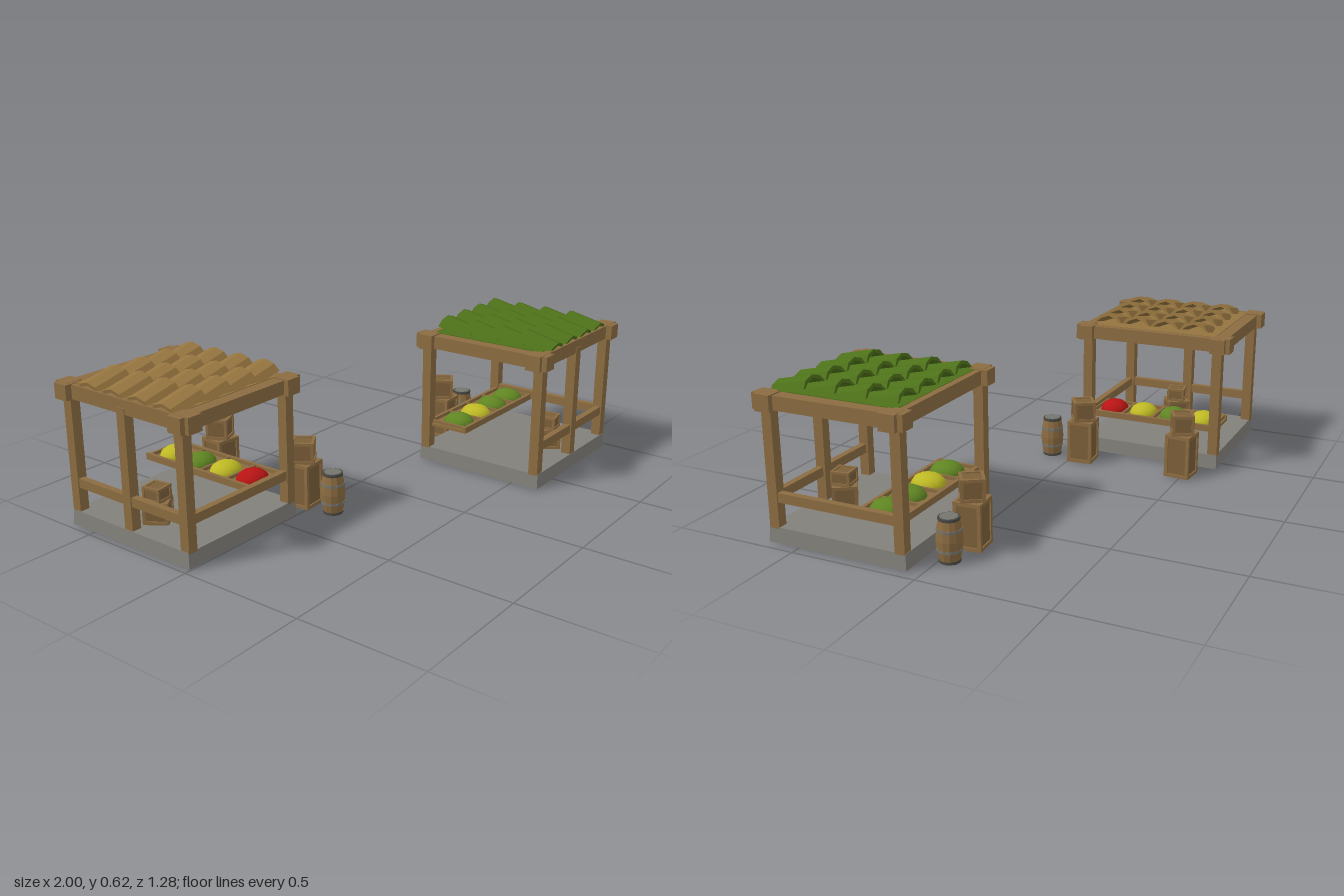
import * as THREE from 'three';

const mat = (name, color) => Object.assign(new THREE.MeshStandardMaterial({ color }), { name });

export function createModel() {
  const M = {
    wood: mat('wood', 0x8c6c41),
    crate: mat('crate panel', 0x7c5f39),
    roofBrown: mat('brown tile', 0x94733f),
    roofGreen: mat('green tile', 0x4d7019),
    stone: mat('stone', 0x82807a),
    metal: mat('metal', 0x75756f),
    rim: mat('dark iron', 0x494844),
    red: mat('red produce', 0xb81414),
    yellow: mat('yellow produce', 0xbdb924),
    green: mat('green produce', 0x5f8522),
  };
  const root = new THREE.Group();
  root.name = 'marketStalls';

  const add = (parent, name, geo, material, x = 0, y = 0, z = 0) => {
    const m = new THREE.Mesh(geo, material);
    m.name = name;
    m.position.set(x, y, z);
    parent.add(m);
    return m;
  };
  const box = (parent, name, material, w, h, d, x, y, z) =>
    add(parent, name, new THREE.BoxGeometry(w, h, d), material, x, y, z);
  const faceted = (geo) => {
    const g = geo.index ? geo.toNonIndexed() : geo;
    g.computeVertexNormals();
    return g;
  };

  // Crate: recessed panels inside a frame of twelve bars
  function crate(parent, s, h, x, y, z, turn) {
    const g = new THREE.Group();
    g.name = 'crate';
    g.position.set(x, y, z);
    g.rotation.y = turn;
    parent.add(g);
    const t = s * 0.13;
    box(g, 'cratePanels', M.crate, s - t * 0.8, h - t * 0.8, s - t * 0.8, 0, h / 2, 0);
    for (const a of [-1, 1]) for (const b of [-1, 1]) {
      const o = (s - t) / 2;
      box(g, 'crateCorner', M.wood, t, h, t, a * o, h / 2, b * o);
      const yb = h / 2 + b * (h - t) / 2;
      box(g, 'crateEdge', M.wood, s - 2 * t, t, t, 0, yb, a * o);
      box(g, 'crateEdge', M.wood, t, t, s - 2 * t, a * o, yb, 0);
    }
  }

  function crateStack(x, z, turn) {
    crate(root, 0.106, 0.18, x, 0, z, turn);
    crate(root, 0.09, 0.086, x, 0.18, z, turn + 0.5);
  }

  // Barrel: bulged staves, two hoops, grey lid
  function barrel(x, z) {
    const g = new THREE.Group();
    g.name = 'barrel';
    g.position.set(x, 0.004, z);
    root.add(g);
    const pts = [[0, 0], [0.037, 0], [0.045, 0.045], [0.048, 0.082], [0.045, 0.119], [0.037, 0.164], [0, 0.164]]
      .map((p) => new THREE.Vector2(...p));
    add(g, 'barrelStaves', faceted(new THREE.LatheGeometry(pts, 12)), M.wood);
    for (const y of [0.045, 0.119])
      add(g, 'barrelHoop', faceted(new THREE.CylinderGeometry(0.0465, 0.0465, 0.009, 12)), M.metal, 0, y, 0);
    for (const y of [0.004, 0.16])
      add(g, 'barrelRim', new THREE.CylinderGeometry(0.0395, 0.0395, 0.01, 12), M.rim, 0, y, 0);
    for (const y of [-0.001, 0.165])
      add(g, 'barrelLid', new THREE.CylinderGeometry(0.033, 0.033, 0.004, 12), M.metal, 0, y, 0);
  }

  // Arched roof tile running along x
  const half = [[-0.061, 0], [-0.04, 0.026], [0, 0.038], [0.04, 0.026], [0.061, 0]];
  const arch = new THREE.Shape([
    ...half.map(([x, y]) => new THREE.Vector2(x, y)),
    ...half.map(([x, y]) => new THREE.Vector2(x * 0.82, Math.max(0, y - 0.012))).reverse(),
  ]);
  const tileGeo = new THREE.ExtrudeGeometry(arch, { depth: 0.148, bevelEnabled: false });
  tileGeo.translate(0, 0, -0.074).rotateY(Math.PI / 2);

  function stall(name, cx, cz, turn, roof, produce) {
    const g = new THREE.Group();
    g.name = name;
    g.position.set(cx, 0, cz);
    g.rotation.y = turn;
    root.add(g);

    // Base slab with slightly drawn-in top
    const slab = new THREE.BoxGeometry(0.57, 0.06, 0.612);
    const p = slab.attributes.position;
    for (let i = 0; i < p.count; i++)
      if (p.getY(i) > 0) p.setXYZ(i, p.getX(i) * 0.988, p.getY(i), p.getZ(i) * 0.988);
    slab.computeVertexNormals();
    add(g, 'baseSlab', slab, M.stone, 0, 0.035, 0);

    // Posts: four corners and one in the middle of the closed side
    for (const [x, z] of [[-1, -1], [-1, 1], [1, -1], [1, 1], [-1, 0]])
      box(g, 'post', M.wood, 0.04, 0.47, 0.04, x * 0.26, 0.295, z * 0.284);

    // Top frame with thicker beam ends
    for (const s of [-1, 1]) {
      box(g, 'longBeam', M.wood, 0.054, 0.055, 0.62, s * 0.25, 0.535, 0);
      box(g, 'shortBeam', M.wood, 0.56, 0.053, 0.054, 0, 0.535, s * 0.289);
      for (const e of [-1, 1]) {
        box(g, 'longBeamEnd', M.wood, 0.064, 0.062, 0.066, s * 0.25, 0.535, e * 0.304);
        box(g, 'shortBeamEnd', M.wood, 0.066, 0.06, 0.062, e * 0.27, 0.535, s * 0.289);
      }
    }

    // Roof panel and four rows of overlapping tiles
    box(g, 'roofPanel', roof, 0.5, 0.012, 0.53, 0, 0.558, 0);
    for (let r = 0; r < 4; r++) for (let c = 0; c < 4; c++) {
      const t = add(g, 'roofTile', tileGeo, roof, -0.194 + c * 0.125, 0.565, 0.016 + (r - 1.5) * 0.126);
      t.rotation.z = 0.22;
    }

    // Side rails
    box(g, 'backRail', M.wood, 0.026, 0.036, 0.54, -0.262, 0.178, 0);
    box(g, 'sideRail', M.wood, 0.5, 0.036, 0.026, 0, 0.178, 0.286);

    // Display counter with dividers and heaps of produce
    box(g, 'counterFloor', M.wood, 0.17, 0.012, 0.57, 0.165, 0.162, 0);
    for (const x of [0.08, 0.25])
      box(g, 'counterLip', M.wood, 0.014, 0.026, 0.57, x, 0.169, 0);
    for (let i = 0; i < 5; i++)
      box(g, 'counterDivider', M.wood, 0.16, 0.024, 0.01, 0.165, 0.169, (i - 2) * 0.136);
    const heap = new THREE.SphereGeometry(1, 12, 5, 0, Math.PI * 2, 0, Math.PI / 2);
    produce.forEach((m, i) => {
      add(g, 'produceHeap', heap, m, 0.155, 0.167, (i - 1.5) * 0.136).scale.set(0.068, 0.043, 0.06);
    });

    // Small crates standing inside
    crate(g, 0.095, 0.084, -0.155, 0.065, 0.02, 0.6);
    crate(g, 0.076, 0.055, -0.155, 0.149, 0.02, 0.15);
  }

  stall('brownStall', -0.695, -0.305, 0, M.roofBrown, [M.yellow, M.green, M.yellow, M.red]);
  stall('greenStall', 0.66, 0.337, Math.PI / 2, M.roofGreen, [M.green, M.yellow, M.green, M.green]);

  // Goods standing outside
  crateStack(-0.303, -0.05, 0.08);
  crateStack(-0.308, -0.49, -0.08);
  crateStack(0.676, -0.046, 0.08);
  barrel(-0.305, 0.096);
  barrel(0.826, -0.037);
  return root;
}
